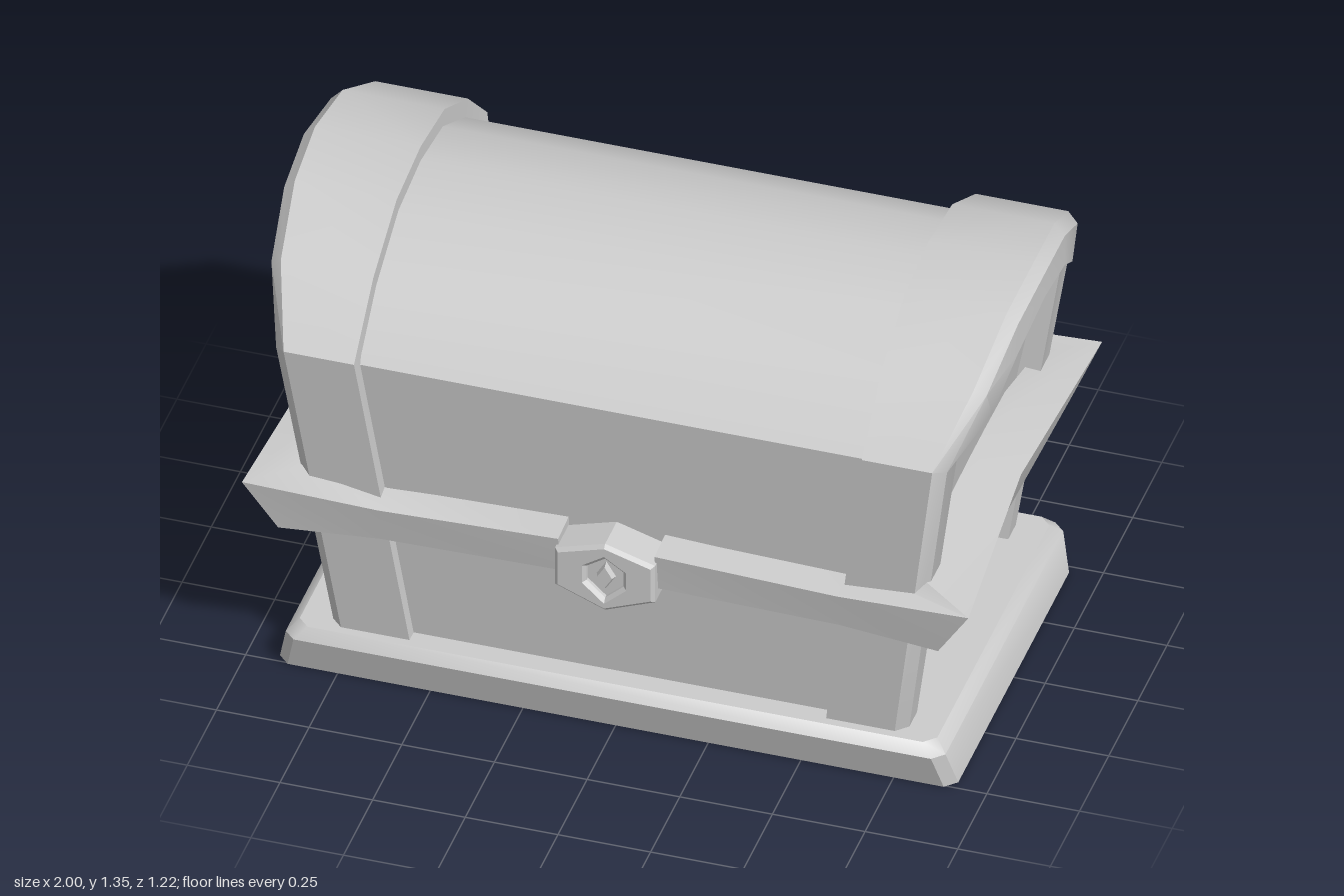
import * as THREE from 'three';
import { toCreasedNormals } from 'three/addons/utils/BufferGeometryUtils.js';

const material = new THREE.MeshStandardMaterial({ color: 0xcccccc });

// Skin a row of equal-length closed cross-sections into a capped solid.
function loft(rings) {
  const n = rings[0].length;
  const pts = rings.flat();
  const tris = [];
  for (let r = 0; r < rings.length - 1; r++) {
    for (let i = 0; i < n; i++) {
      const a = r * n + i, b = r * n + (i + 1) % n;
      tris.push([a, b, b + n], [a, b + n, a + n]);
    }
  }
  const last = (rings.length - 1) * n;
  for (let i = 1; i < n - 1; i++) {
    tris.push([0, i + 1, i], [last, last + i, last + i + 1]);
  }
  // Turn the faces outward whichever way the sections run.
  const v = pts.map((p) => new THREE.Vector3(...p));
  const volume = tris.reduce((s, [a, b, c]) => s + v[a].dot(v[b].clone().cross(v[c])), 0);
  const index = tris.flatMap(([a, b, c]) => (volume < 0 ? [a, c, b] : [a, b, c]));
  const geo = new THREE.BufferGeometry();
  geo.setAttribute('position', new THREE.Float32BufferAttribute(pts.flat(), 3));
  geo.setIndex(index);
  return toCreasedNormals(geo, 0.6);
}

function add(group, name, geometry) {
  const mesh = new THREE.Mesh(geometry, material);
  mesh.name = name;
  group.add(mesh);
  return mesh;
}

// Extend a front-to-apex list of [z, ...] points to the back.
const mirrorZ = (half) => [
  ...half,
  ...half.slice(0, -1).reverse().map(([z, ...rest]) => [-z, ...rest]),
];

const polygon = (pts) => pts.map(([x, y]) => new THREE.Vector2(x, y));

export function createModel() {
  const chest = new THREE.Group();
  chest.name = 'chest';

  // Plinth with clipped corners: [y, half width, half depth]
  const clip = 0.03;
  add(chest, 'base', loft([[0, 0.915, 0.505], [0.105, 0.89, 0.535], [0.135, 0.86, 0.51]].map(
    ([y, w, d]) => [
      [w, y, d - clip], [w - clip, y, d], [clip - w, y, d], [-w, y, d - clip],
      [-w, y, clip - d], [clip - w, y, -d], [w - clip, y, -d], [w, y, clip - d],
    ])));

  // Panelled body and barrel lid, with ends that lean outward
  const bodyProfile = mirrorZ([[0.45, 0.12], [0.528, 1.02], [0.38, 1.17], [0.19, 1.275], [0, 1.3]]);
  add(chest, 'body', loft([-1, 1].map((s) =>
    bodyProfile.map(([z, y]) => [s * (0.7 + (y - 0.14) * 0.18), y, z]))));

  // End frames: [outer z, outer y, bevel z, bevel y, opening z, opening y, inner x, outer x]
  const frame = mirrorZ([
    [0.485, 0.12, 0.455, 0.12, 0.39, 0.12, 0.56, 0.775],
    [0.572, 1.05, 0.54, 1.035, 0.452, 1.025, 0.685, 0.905],
    [0.405, 1.212, 0.39, 1.19, 0.345, 1.1, 0.685, 0.965],
    [0.205, 1.32, 0.2, 1.29, 0.2, 1.197, 0.685, 0.99],
    [0, 1.345, 0, 1.315, 0, 1.24, 0.685, 1.0],
  ]).map((p, i, all) => {
    // Restore the sign of every z on the back half.
    const side = i >= all.length / 2 ? -1 : 1;
    const [oz, oy, bz, by, iz, iy, xi, xo] = p;
    return { oz, oy, bz: side * bz, by, iz: side * iz, iy, xi, xo };
  });
  for (const s of [-1, 1]) {
    add(chest, s > 0 ? 'leftEndFrame' : 'rightEndFrame', loft(frame.map((p) => [
      [s * p.xi, p.oy, p.oz],
      [s * (p.xo - 0.03), p.oy, p.oz],
      [s * p.xo, p.by, p.bz],
      [s * p.xo, p.iy, p.iz],
      [s * p.xi, p.iy, p.iz],
    ])));
  }

  // Flared rim, open at the front for the lock.
  // Stations hold outer top, outer bottom, inner bottom, inner top.
  const halfRim = [
    [[0.13, 0.625, 0.585], [0.13, 0.515, 0.57], [0.13, 0.515, 0.45], [0.13, 0.635, 0.46]],
    [[0.62, 0.6, 0.575], [0.62, 0.495, 0.555], [0.62, 0.495, 0.45], [0.62, 0.62, 0.46]],
    [[0.98, 0.625, 0.595], [0.89, 0.482, 0.57], [0.74, 0.482, 0.45], [0.82, 0.655, 0.5]],
    [[0.935, 0.655, 0], [0.875, 0.475, 0], [0.72, 0.475, 0], [0.76, 0.69, 0]],
    [[0.96, 0.65, -0.615], [0.89, 0.485, -0.57], [0.74, 0.485, -0.45], [0.82, 0.665, -0.5]],
    [[0, 0.615, -0.605], [0, 0.495, -0.57], [0, 0.495, -0.45], [0, 0.635, -0.46]],
  ];
  const otherHalf = halfRim.slice(0, -1).reverse()
    .map((ring) => ring.map(([x, y, z]) => [-x, y, z]));
  add(chest, 'rim', loft([...halfRim, ...otherHalf]));

  // Six-sided lock plate with a sunken keyhole
  const plate = new THREE.Shape(polygon([
    [0, 0.635], [-0.125, 0.597], [-0.125, 0.495], [0, 0.445], [0.125, 0.495], [0.125, 0.597],
  ]));
  plate.holes.push(new THREE.Path(polygon([
    [0, 0.61], [0.06, 0.57], [0.06, 0.515], [0, 0.46], [-0.06, 0.515], [-0.06, 0.57],
  ])));
  const lock = new THREE.Group();
  lock.name = 'lock';
  chest.add(lock);
  add(lock, 'lockPlate', toCreasedNormals(new THREE.ExtrudeGeometry(plate, {
    depth: 0.1, bevelEnabled: true, bevelThickness: 0.01, bevelSize: 0.01, bevelSegments: 1,
  }), 0.4)).position.z = 0.495;
  const backing = add(lock, 'keyholeBack', new THREE.BoxGeometry(0.16, 0.14, 0.08));
  backing.position.set(0, 0.54, 0.545);
  const stud = add(lock, 'keyholeStud', new THREE.CylinderGeometry(0.025, 0.035, 0.02, 4).toNonIndexed());
  stud.geometry.computeVertexNormals();
  stud.geometry.rotateX(Math.PI / 2).scale(0.8, 1.3, 1);
  stud.position.set(0, 0.54, 0.59);

  // Two hinge plates lying on the sloped back
  for (const x of [-0.38, 0.34]) {
    const hinge = add(chest, 'hinge', new THREE.BoxGeometry(0.28, 0.2, 0.025));
    hinge.position.set(x, 0.655, -0.505);
    hinge.rotation.x = -0.087;
  }

  return chest;
}
